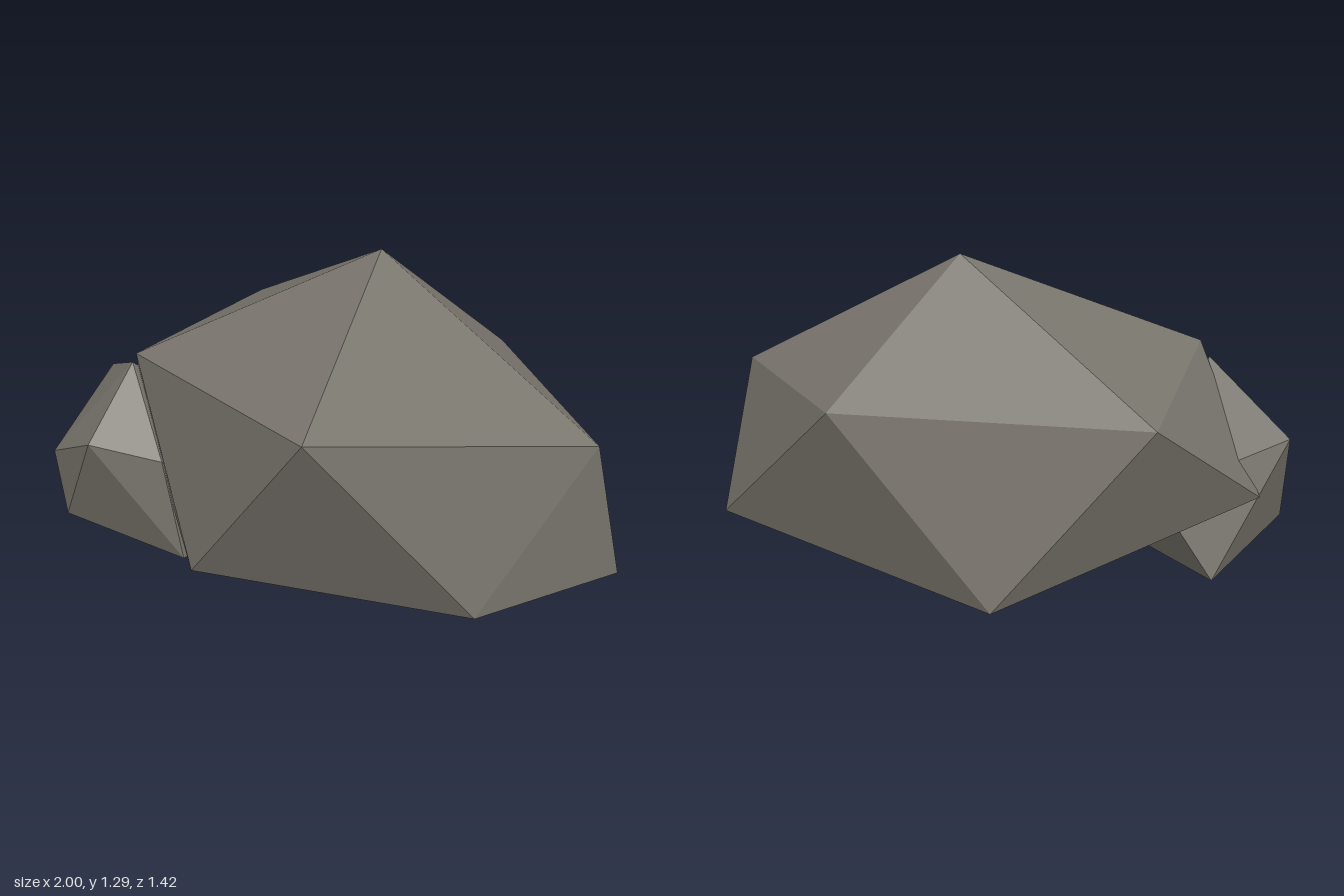
import * as THREE from 'three';

// Faceted stone: a top point, an upper ring of five, a lower ring of five and a
// bottom point, joined like an icosahedron. Rings run anticlockwise from above.
function makeStone(name, top, upper, lower, bottom, material) {
  const corners = [];
  for (let i = 0; i < 5; i++) {
    const j = (i + 1) % 5;
    corners.push(
      top, upper[i], upper[j],
      upper[i], lower[i], upper[j],
      upper[j], lower[i], lower[j],
      bottom, lower[j], lower[i],
    );
  }
  const geometry = new THREE.BufferGeometry();
  geometry.setAttribute('position', new THREE.Float32BufferAttribute(corners.flat(), 3));
  geometry.computeVertexNormals(); // unshared corners give flat facets
  const mesh = new THREE.Mesh(geometry, material);
  mesh.name = name;
  return mesh;
}

export function createModel() {
  const model = new THREE.Group();
  model.name = 'rocks';

  const stone = new THREE.MeshStandardMaterial({ color: 0x7a766e });
  stone.name = 'warm grey stone';

  // Main boulder
  model.add(makeStone(
    'largeRock',
    [0.07, 1.29, -0.22],
    [[0.39, 1.0, 0.71], [0.95, 0.8, -0.16], [0.33, 0.86, -0.68], [-0.7, 0.9, -0.53], [-0.62, 0.92, 0.31]],
    [[0.75, 0.29, 0.26], [1.0, 0.24, -0.34], [-0.24, 0.28, -0.71], [-0.93, 0.51, -0.03], [-0.14, 0.345, 0.62]],
    [0.17, 0, -0.05],
    stone,
  ));

  // Smaller rock leaning into its side
  model.add(makeStone(
    'smallRock',
    [-0.66, 0.87, 0.29],
    [[-0.91, 0.52, 0.48], [-0.6, 0.68, 0.6], [-0.41, 0.6, 0.44], [-0.6, 0.51, -0.14], [-1.0, 0.7, 0.05]],
    [[-0.84, 0.29, 0.51], [-0.38, 0.19, 0.39], [-0.32, 0.23, 0.15], [-0.805, 0.21, -0.115], [-0.95, 0.29, 0.32]],
    [-0.67, 0.13, 0.19],
    stone,
  ));

  return model;
}
